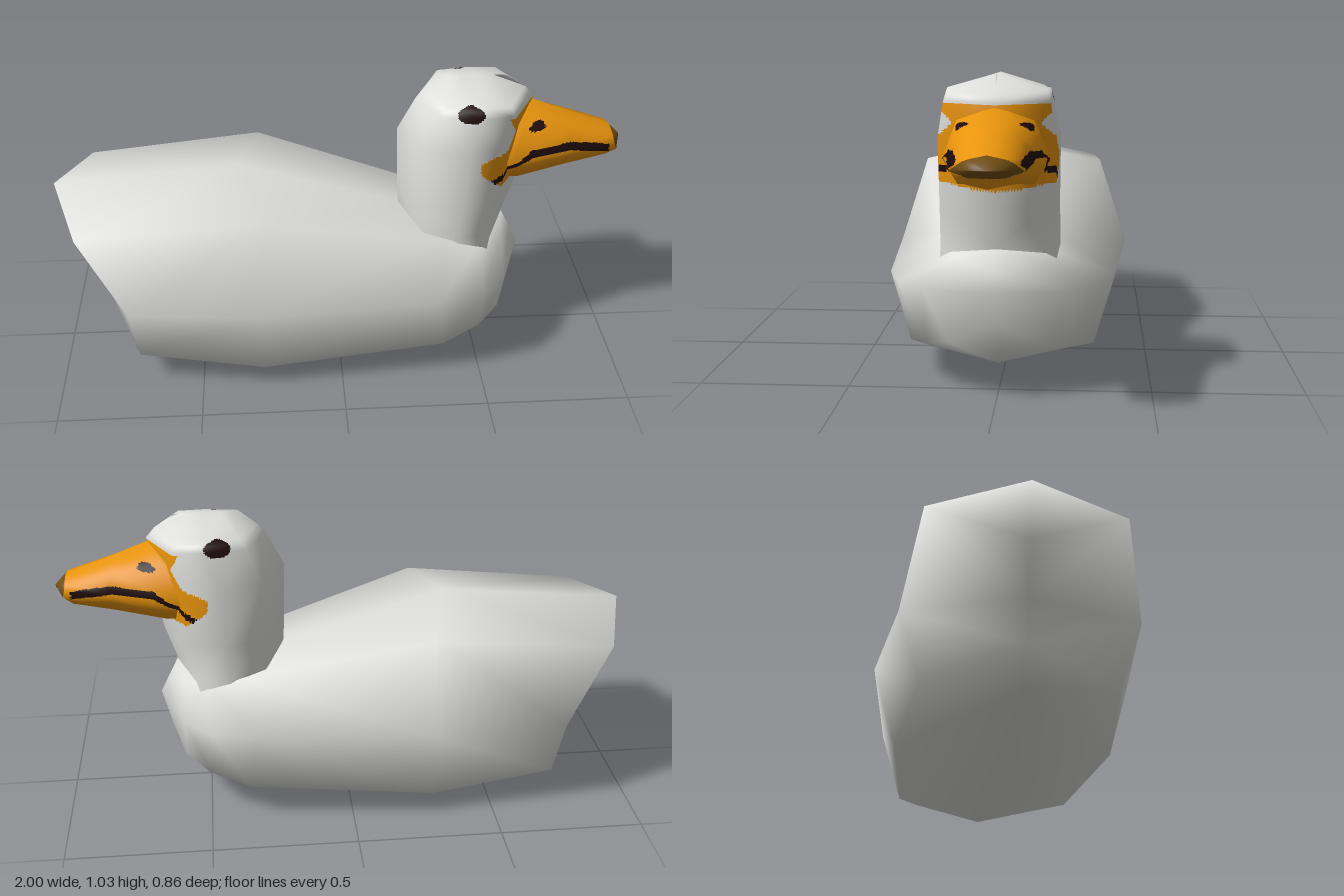
import * as THREE from 'three';
import { mergeVertices } from 'three/addons/utils/BufferGeometryUtils.js';

const mat = (name, color) => {
  const m = new THREE.MeshStandardMaterial({ color });
  m.name = name;
  return m;
};

// Smooth skin over half sections mirrored in z; the first and last point of each lie on z = 0
function loft(halves) {
  const rings = halves.map(h => [...h, ...h.slice(1, -1).reverse().map(([x, y, z]) => [x, y, -z])]);
  const n = rings[0].length, index = [];
  for (let i = 0; i < rings.length - 1; i++) {
    for (let j = 0; j < n; j++) {
      const k = (j + 1) % n;
      const a = i * n + j, b = a + n, c = i * n + k, d = c + n;
      if (j < n / 2) index.push(a, c, b, b, c, d);
      else index.push(a, c, d, a, d, b);
    }
  }
  let g = new THREE.BufferGeometry();
  g.setAttribute('position', new THREE.Float32BufferAttribute(rings.flat(2), 3));
  g.setIndex(index);
  g = mergeVertices(g, 1e-4);
  g.computeVertexNormals();
  return g;
}

// Split every triangle into n * n pieces and sort the pieces into colour groups by rule(x, y, z)
function paint(source, n, colours, rule) {
  const g = source.toNonIndexed(), p = g.attributes.position, q = g.attributes.normal;
  const pos = colours.map(() => []), nor = colours.map(() => []);
  const V = (attr, i) => new THREE.Vector3().fromBufferAttribute(attr, i);
  for (let t = 0; t < p.count; t += 3) {
    const P = [0, 1, 2].map(k => V(p, t + k)), N = [0, 1, 2].map(k => V(q, t + k));
    if (P[1].clone().sub(P[0]).cross(P[2].clone().sub(P[0])).length() < 1e-7) continue;
    const mix = (A, u, v) => A[0].clone().multiplyScalar(1 - (u + v) / n)
      .addScaledVector(A[1], u / n).addScaledVector(A[2], v / n);
    const add = corners => {
      const pts = corners.map(([u, v]) => mix(P, u, v));
      const c = pts[0].clone().add(pts[1]).add(pts[2]).divideScalar(3);
      const k = rule(c.x, c.y, Math.abs(c.z));
      corners.forEach(([u, v], i) => {
        pos[k].push(...pts[i].toArray());
        nor[k].push(...mix(N, u, v).normalize().toArray());
      });
    };
    for (let u = 0; u < n; u++) {
      for (let v = 0; u + v < n; v++) {
        add([[u, v], [u + 1, v], [u, v + 1]]);
        if (u + v < n - 1) add([[u + 1, v], [u + 1, v + 1], [u, v + 1]]);
      }
    }
  }
  const out = new THREE.BufferGeometry();
  out.setAttribute('position', new THREE.Float32BufferAttribute(pos.flat(), 3));
  out.setAttribute('normal', new THREE.Float32BufferAttribute(nor.flat(), 3));
  let start = 0;
  pos.forEach((a, k) => {
    out.addGroup(start, a.length / 3, k);
    start += a.length / 3;
  });
  return new THREE.Mesh(out, colours);
}

const ellipse = (x, y, cx, cy, rx, ry) => ((x - cx) / rx) ** 2 + ((y - cy) / ry) ** 2 < 1;

// Linear interpolation through [t, value] pairs
function along(table, t) {
  for (let i = 1; i < table.length; i++) {
    const [a, u] = table[i - 1], [b, v] = table[i];
    if (t <= b) return u + (v - u) * Math.max(0, (t - a) / (b - a));
  }
  return table[table.length - 1][1];
}

export function createModel() {
  const group = new THREE.Group();
  const white = mat('white feathers', 0xdededc);
  const orange = mat('orange bill', 0xe8940c);
  const dark = mat('dark eye', 0x200c0c);
  const brown = mat('brown bill tip', 0x6e4c12);

  // Body, from tail ridge to breast; points run top, shoulder, flank, keel edge, keel
  const body = new THREE.Mesh(loft([
    [[-1, .66, 0], [-.95, .49, 0], [-.9, .32, 0], [-.85, .2, 0], [-.8, .08, 0]],
    [[-1, .66, 0], [-.9, .61, .31], [-.74, .34, .37], [-.72, .12, .3], [-.8, .08, 0]],
    [[-.36, .715, 0], [-.28, .665, .33], [-.28, .355, .43], [-.28, .085, .355], [-.28, 0, 0]],
    [[.28, .525, 0], [.36, .495, .2], [.33, .355, .38], [.36, .125, .31], [.36, .055, 0]],
    [[.5, .49, 0], [.5, .47, .17], [.49, .355, .33], [.5, .15, .24], [.53, .1, 0]],
    [[.6, .49, 0], [.58, .46, .13], [.58, .355, .24], [.58, .18, .16], [.62, .16, 0]],
    [[.6, .49, 0], [.635, .42, 0], [.665, .36, 0], [.64, .26, 0], [.62, .16, 0]],
  ]), white);
  body.name = 'body';
  group.add(body);

  // Neck and head: [height, back x, front x, half width]
  const headShape = loft([
    [.36, .26, .6, .2], [.5, .222, .6, .197], [.62, .215, .64, .195], [.84, .21, .67, .197],
    [.955, .27, .68, .175], [.99, .3, .65, .165], [1.035, .39, .58, 0],
  ].map(([y, back, front, w]) => [[0, 0], [.18, .88], [.5, 1], [.78, .95], [1, 0]]
    .map(([t, s]) => [back + (front - back) * t, y, w * s])));
  const cheek = [[.68, .61], [.71, .53], [.75, .48], [.79, .48], [.83, .56], [.89, .6], [.95, .57]];
  const mouth = [[.5, .7], [.58, .75], [.66, .8], [.8, .815], [.95, .79]];
  const inMouth = (x, y) => x > .51 && x < .94 && Math.abs(y - along(mouth, x)) < .011;
  const head = paint(headShape, 20, [white, orange, dark], (x, y) => {
    if (ellipse(x, y, .44, .965, .045, .029)) return 2;
    if (y < .68 || y > .95 || x < along(cheek, y)) return 0;
    return inMouth(x, y) ? 2 : 1;
  });
  head.name = 'neckAndHead';
  group.add(head);

  // Bill, tapering to a blunt tip, with nostrils and mouth line
  const bill = paint(loft([
    [[.6, .955, 0], [.57, .9, .1], [.53, .76, .16], [.56, .69, .1], [.6, .7, 0]],
    [[.67, .945, 0], [.63, .9, .12], [.6, .78, .17], [.62, .7, .12], [.65, .71, 0]],
    [[.81, .89, 0], [.8, .865, .085], [.8, .8, .135], [.8, .73, .09], [.8, .718, 0]],
    [[.96, .835, 0], [.96, .822, .06], [.965, .79, .107], [.94, .745, .06], [.93, .73, 0]],
    [[1, .795, 0], [1, .794, 0], [1, .79, 0], [1, .786, 0], [1, .785, 0]],
  ]), 16, [orange, dark, brown], (x, y, z) => {
    if (x > .962 && y > .768) return 2;
    if (z > .05 && (ellipse(x, y, .68, .885, .03, .013) || inMouth(x, y))) return 1;
    return 0;
  });
  bill.name = 'bill';
  group.add(bill);

  return group;
}
